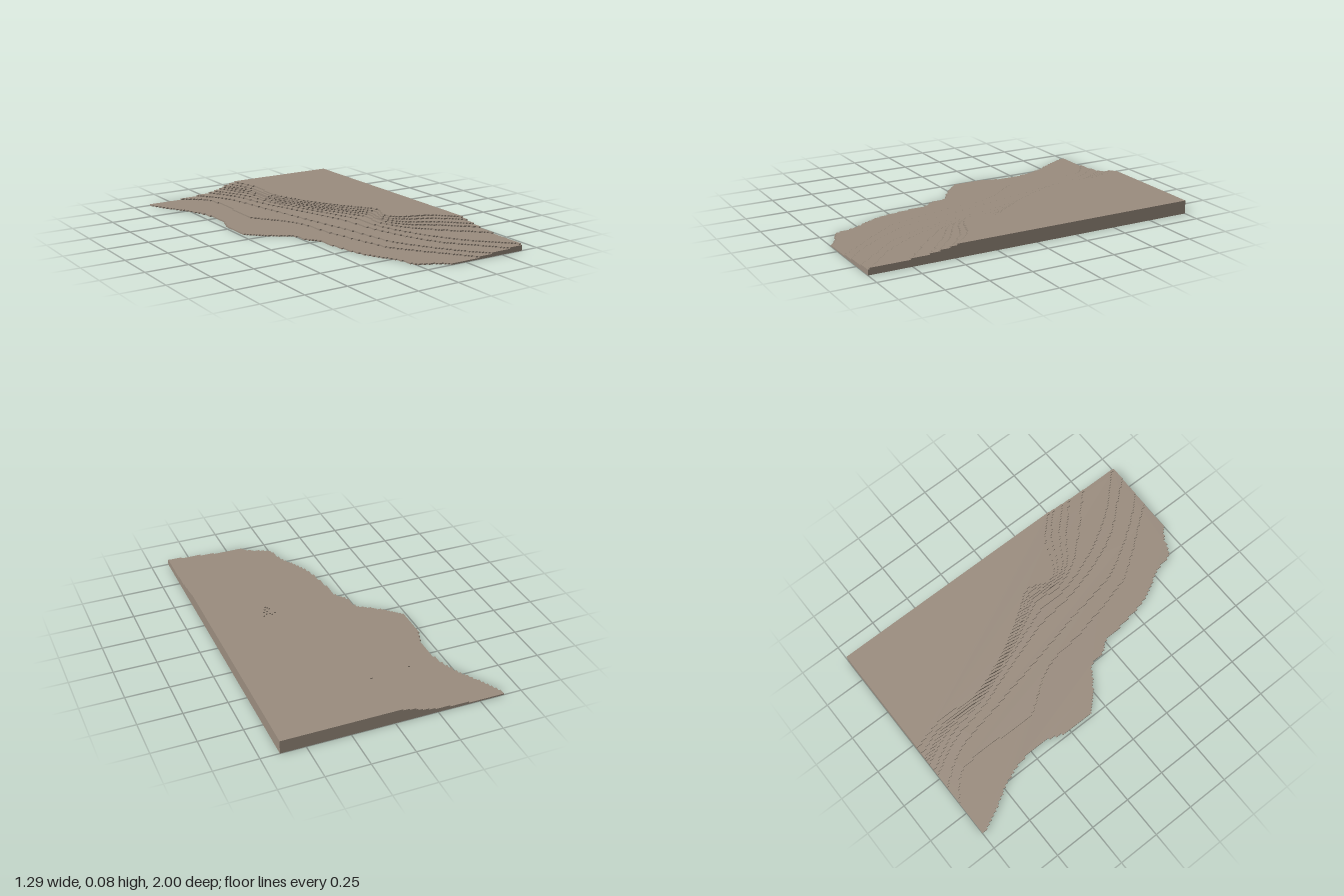
import * as THREE from 'three';

const EAST = 0.643;      // straight edge shared by all layers
const LAYER = 0.0079;    // thickness of one terrace
const CELL = 0.0125;     // grid step of the contour edges

// Contours as [x, z], from the back edge towards the front
const shore = [[-0.645, -1], [-0.64, -0.97], [-0.6, -0.88], [-0.55, -0.8], [-0.49, -0.68],
  [-0.455, -0.57], [-0.445, -0.47], [-0.45, -0.38], [-0.475, -0.3], [-0.485, -0.2], [-0.48, -0.1],
  [-0.42, -0.03], [-0.35, 0.03], [-0.26, 0.1], [-0.235, 0.2], [-0.185, 0.27], [-0.175, 0.38],
  [-0.15, 0.53], [-0.11, 0.65], [-0.04, 0.77], [0, 0.9], [0.1, 0.95], [0.155, 1]];
const second = [[-0.44, -1], [-0.31, -0.9], [-0.274, -0.757], [-0.28, -0.43], [-0.26, -0.335],
  [-0.11, -0.105], [-0.065, 0.167], [0.02, 0.516], [0.07, 0.632], [0.23, 0.847], [0.35, 1]];
const third = [[-0.32, -1], [-0.19, -0.8], [-0.11, -0.46], [-0.03, -0.1], [0.04, 0.2],
  [0.1, 0.5], [0.17, 0.65], [0.3, 0.85], [0.435, 1]];
const fourth = [[-0.235, -1], [-0.13, -0.8], [-0.07, -0.55], [0.03, -0.25], [0.12, 0.03],
  [0.15, 0.25], [0.22, 0.5], [0.31, 0.7], [0.45, 0.87], [0.56, 1]];
const fifth = [[-0.2, -1], [-0.09, -0.78], [-0.045, -0.57], [0.05, -0.3], [0.14, -0.06],
  [0.19, 0.08], [0.2, 0.25], [0.28, 0.5], [0.43, 0.76], [EAST, 0.99]];
const plateau = [[-0.05, -1], [0.005, -0.78], [-0.006, -0.57], [0.09, -0.3], [0.234, -0.06],
  [0.325, 0.08], [0.285, 0.21], [0.345, 0.29], [0.51, 0.36], [EAST, 0.49]];

// Contour between the fifth layer and the plateau; the blend changes along its length
function between(startBlend, endBlend) {
  return fifth.map(([x, z], i) => {
    const t = THREE.MathUtils.lerp(startBlend, endBlend, i / (fifth.length - 1));
    return [THREE.MathUtils.lerp(x, plateau[i][0], t), THREE.MathUtils.lerp(z, plateau[i][1], t)];
  });
}

// Slab from the stepped contour to the straight edge
function terraceGeometry(contour) {
  const curve = new THREE.SplineCurve(contour.map(([x, z]) => new THREE.Vector2(x, z)));
  const samples = curve.getPoints(600);
  const zEnd = contour[contour.length - 1][1];
  const rows = Math.round((zEnd + 1) / CELL);
  const depth = (zEnd + 1) / rows;
  const outline = [];
  const add = (x, z) => outline.push(new THREE.Vector2(x, -z));
  let lastX = null;
  for (let r = 0; r < rows; r++) {
    const z0 = -1 + r * depth;
    const hit = samples.find((p) => p.y >= z0 + depth / 2) || samples[samples.length - 1];
    const x = Math.min(EAST - CELL, -0.645 + Math.round((hit.x + 0.645) / CELL) * CELL);
    if (x !== lastX) {
      if (lastX !== null) add(lastX, z0);
      add(x, z0);
    }
    lastX = x;
  }
  add(lastX, zEnd);
  add(EAST, zEnd);
  add(EAST, -1);
  const geometry = new THREE.ExtrudeGeometry(new THREE.Shape(outline), { depth: LAYER, bevelEnabled: false });
  return geometry.rotateX(-Math.PI / 2);
}

export function createModel() {
  const group = new THREE.Group();
  group.name = 'terracedTerrain';
  const earth = new THREE.MeshStandardMaterial({ color: 0x9a8c7e });
  earth.name = 'earth';

  const contours = [shore, second, third, fourth, fifth,
    between(0.27, 0.46), between(0.43, 0.68), between(0.53, 0.8), between(0.73, 0.92), plateau];

  // Stack the layers from the shore up to the plateau
  contours.forEach((contour, i) => {
    const mesh = new THREE.Mesh(terraceGeometry(contour), earth);
    mesh.name = `terrace${i + 1}`;
    mesh.position.y = i * LAYER;
    group.add(mesh);
  });
  return group;
}
